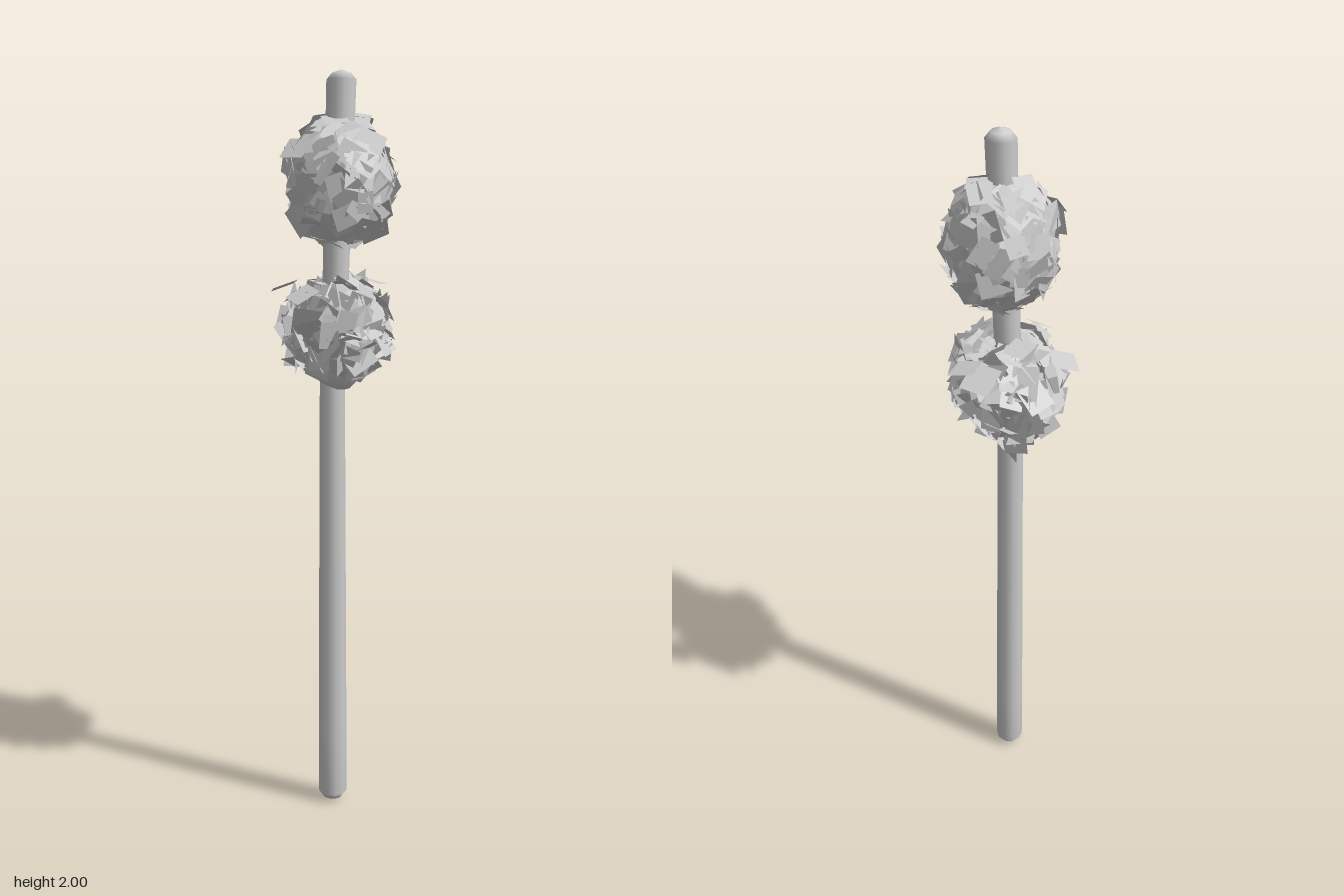
import * as THREE from 'three';
import { mergeGeometries } from 'three/addons/utils/BufferGeometryUtils.js';

const material = new THREE.MeshStandardMaterial({ color: 0xcccccc });
const leafMaterial = new THREE.MeshStandardMaterial({ color: 0xcccccc, side: THREE.DoubleSide });

// Small seeded random number source, 0..1
function seeded(seed) {
  return () => {
    seed = (seed * 16807) % 2147483647;
    return seed / 2147483647;
  };
}

// One flat leaf card at a point, facing along a normal, spun about it
function leafCard(width, height, position, normal, spin) {
  const card = new THREE.PlaneGeometry(width, height);
  card.rotateZ(spin);
  const turn = new THREE.Quaternion().setFromUnitVectors(new THREE.Vector3(0, 0, 1), normal.clone().normalize());
  card.applyQuaternion(turn);
  return card.translate(position.x, position.y, position.z);
}

// A rounded core covered in overlapping cards that lie roughly on an ellipsoid
function foliage(name, { center, radii, core, coreCenter, count, low, high, tilt, seed, extras = [] }) {
  const rand = seeded(seed);
  const group = new THREE.Group();
  group.name = name;

  const coreMesh = new THREE.Mesh(new THREE.SphereGeometry(1, 10, 8), material);
  coreMesh.name = name + 'Core';
  coreMesh.scale.set(...core);
  coreMesh.position.set(...coreCenter);
  group.add(coreMesh);

  const c = new THREE.Vector3(...center);
  const r = new THREE.Vector3(...radii);
  const cards = [];
  for (let i = 0; i < count; i++) {
    const y = low + (high - low) * (i + 0.5) / count;
    const a = i * 2.39996 + (rand() - 0.5) * 0.5;
    const s = Math.sqrt(1 - y * y);
    const dir = new THREE.Vector3(Math.cos(a) * s, y, Math.sin(a) * s);
    const position = dir.clone().multiply(r).multiplyScalar(0.84 + 0.14 * rand()).add(c);
    const normal = dir.clone().divide(r).normalize();
    normal.add(new THREE.Vector3(rand() - 0.5, rand() - 0.5, rand() - 0.5).multiplyScalar(tilt));
    const size = 0.045 + 0.035 * rand();
    cards.push(leafCard(size, size * (0.8 + 0.4 * rand()), position, normal, rand() * 6.28));
  }
  for (const [size, p, n, spin] of extras) {
    cards.push(leafCard(size, size, new THREE.Vector3(...p), new THREE.Vector3(...n), spin));
  }
  const leaves = new THREE.Mesh(mergeGeometries(cards), leafMaterial);
  leaves.name = name + 'Leaves';
  group.add(leaves);
  return group;
}

export function createModel() {
  const model = new THREE.Group();
  model.name = 'foliagePole';

  // Slim pole with blunt domed ends, leaning slightly above the lower clump
  const profile = [
    [0, 0], [0.025, 0.008], [0.039, 0.025], [0.039, 0.2], [0.034, 1.15],
    [0.035, 1.5], [0.039, 1.975], [0.025, 1.992], [0, 2]
  ].map(([x, y]) => new THREE.Vector2(x, y));
  const poleGeometry = new THREE.LatheGeometry(profile, 10);
  const points = poleGeometry.attributes.position;
  for (let i = 0; i < points.count; i++) {
    const lean = Math.max(0, points.getY(i) - 1.15) * 0.03;
    points.setX(i, points.getX(i) - 0.02 + lean);
    points.setZ(i, points.getZ(i) + 0.03);
  }
  const pole = new THREE.Mesh(poleGeometry, material);
  pole.name = 'pole';
  model.add(pole);

  // Upper egg-shaped clump
  model.add(foliage('upperFoliage', {
    center: [0.005, 1.715, 0.02], radii: [0.145, 0.18, 0.135],
    core: [0.115, 0.165, 0.11], coreCenter: [0.002, 1.715, 0.02],
    count: 230, low: -0.96, high: 0.95, tilt: 0.8, seed: 4217
  }));

  // Lower, looser clump with its core showing underneath and larger stray leaves
  model.add(foliage('lowerFoliage', {
    center: [-0.005, 1.33, 0.015], radii: [0.138, 0.145, 0.19],
    core: [0.085, 0.125, 0.085], coreCenter: [-0.005, 1.29, 0.035],
    count: 250, low: -0.82, high: 0.93, tilt: 1.5, seed: 9031,
    extras: [
      [0.08, [0.10, 1.43, -0.13], [0.3, 0.9, -0.4], 0.4],
      [0.07, [0.13, 1.45, -0.10], [0.2, 0.9, 0.1], 0.7],
      [0.07, [-0.12, 1.44, -0.11], [-0.3, 0.9, -0.2], 0.3],
      [0.07, [-0.03, 1.38, -0.17], [-0.1, 0.6, -0.6], 0.7],
      [0.10, [0.00, 1.32, -0.16], [1, 0.25, 0.1], 0.75],
      [0.10, [0.01, 1.25, -0.12], [0.9, 0.2, -0.3], 0.75],
      [0.08, [0.01, 1.17, -0.05], [0.9, -0.3, -0.3], 0.75],
      [0.07, [-0.12, 1.43, 0.11], [-0.4, 0.8, 0.3], 0.6]
    ]
  }));

  return model;
}
